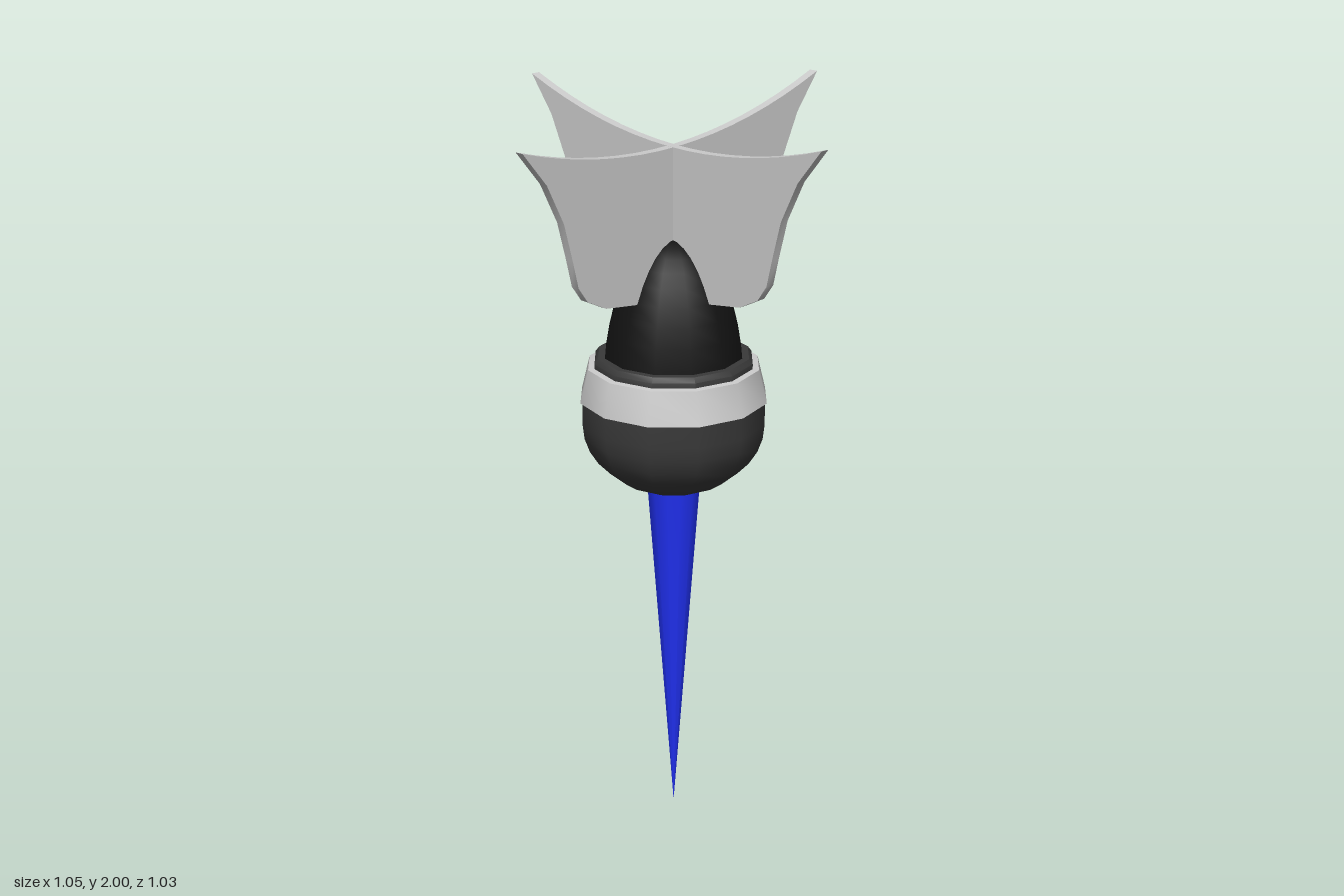
import * as THREE from 'three';
import { toCreasedNormals } from 'three/addons/utils/BufferGeometryUtils.js';

const SIDES = 12;
const mat = (color) => new THREE.MeshStandardMaterial({ color, side: THREE.DoubleSide });

// Points on an ellipse from angle a0 to a1 (0 = equator, PI/2 = top pole)
function arc(rx, ry, cy, a0, a1, steps) {
  return Array.from({ length: steps + 1 }, (_, i) => {
    const a = a0 + ((a1 - a0) * i) / steps;
    return [Math.max(0, rx * Math.cos(a)), cy + ry * Math.sin(a)];
  });
}

// Turned part from a [radius, height] profile running upwards
function turned(name, profile, material) {
  const pts = profile.map(([r, y]) => new THREE.Vector2(r, y));
  const mesh = new THREE.Mesh(toCreasedNormals(new THREE.LatheGeometry(pts, SIDES), 0.7), material);
  mesh.name = name;
  return mesh;
}

// Flared flight blade, mirrored about its middle and slightly sheared upwards
function blade(name, halfWidth, slope, material) {
  const side = [
    [0.154, 1.505], [0.257, 1.523], [0.32, 1.557], [0.35, 1.6],
    [0.368, 1.674], [0.395, 1.775], [0.448, 1.883], [0.523, 1.977],
  ];
  const k = halfWidth / 0.523;
  const pt = (x, y) => new THREE.Vector2(x * k, y + slope * x * k);
  const outline = side.map(([x, y]) => pt(x, y));
  // concave top edge
  for (let i = 1; i < 16; i++) {
    const x = 0.523 * (1 - i / 8);
    outline.push(pt(x, 1.885 + 0.092 * (x / 0.523) ** 2));
  }
  outline.push(...side.map(([x, y]) => pt(-x, y)).reverse());
  const geo = new THREE.ExtrudeGeometry(new THREE.Shape(outline), { depth: 0.025, bevelEnabled: false });
  geo.translate(0, 0, -0.0125);
  const mesh = new THREE.Mesh(toCreasedNormals(geo, 0.6), material);
  mesh.name = name;
  return mesh;
}

export function createModel() {
  const model = new THREE.Group();
  const grey = mat(0xcccccc), black = mat(0x131313), dark = mat(0x3a3a3a), blue = mat(0x2030f0);

  // Turned body, needle point upwards to the dome
  const body = new THREE.Group();
  body.name = 'body';
  body.position.set(-0.01, 0, 0.007);
  body.add(
    turned('needle', [[0, 0], [0.071, 0.95], [0.073, 0.98], [0, 0.98]], blue),
    turned('bulb', [...arc(0.247, 0.205, 1.155, -Math.PI / 2, 0, 8), [0.247, 1.22]], dark),
    turned('band', [[0.2, 1.215], [0.252, 1.215], [0.23, 1.305], [0.2, 1.308]], grey),
    turned('collar', [[0.213, 1.3], [0.213, 1.32], [0.203, 1.333], [0.17, 1.333]], dark),
    turned('dome', arc(0.192, 0.425, 1.22, 0.15, Math.PI / 2, 10), black),
  );
  model.add(body);

  // Two crossed blades
  const sideBlade = blade('sideBlade', 0.523, 0.043, grey);
  sideBlade.position.set(-0.004, 0, 0.006);
  const frontBlade = blade('frontBlade', 0.513, 0.034, grey);
  frontBlade.rotation.y = Math.PI / 2;
  frontBlade.position.set(-0.011, 0, 0.002);
  model.add(sideBlade, frontBlade);
  return model;
}
